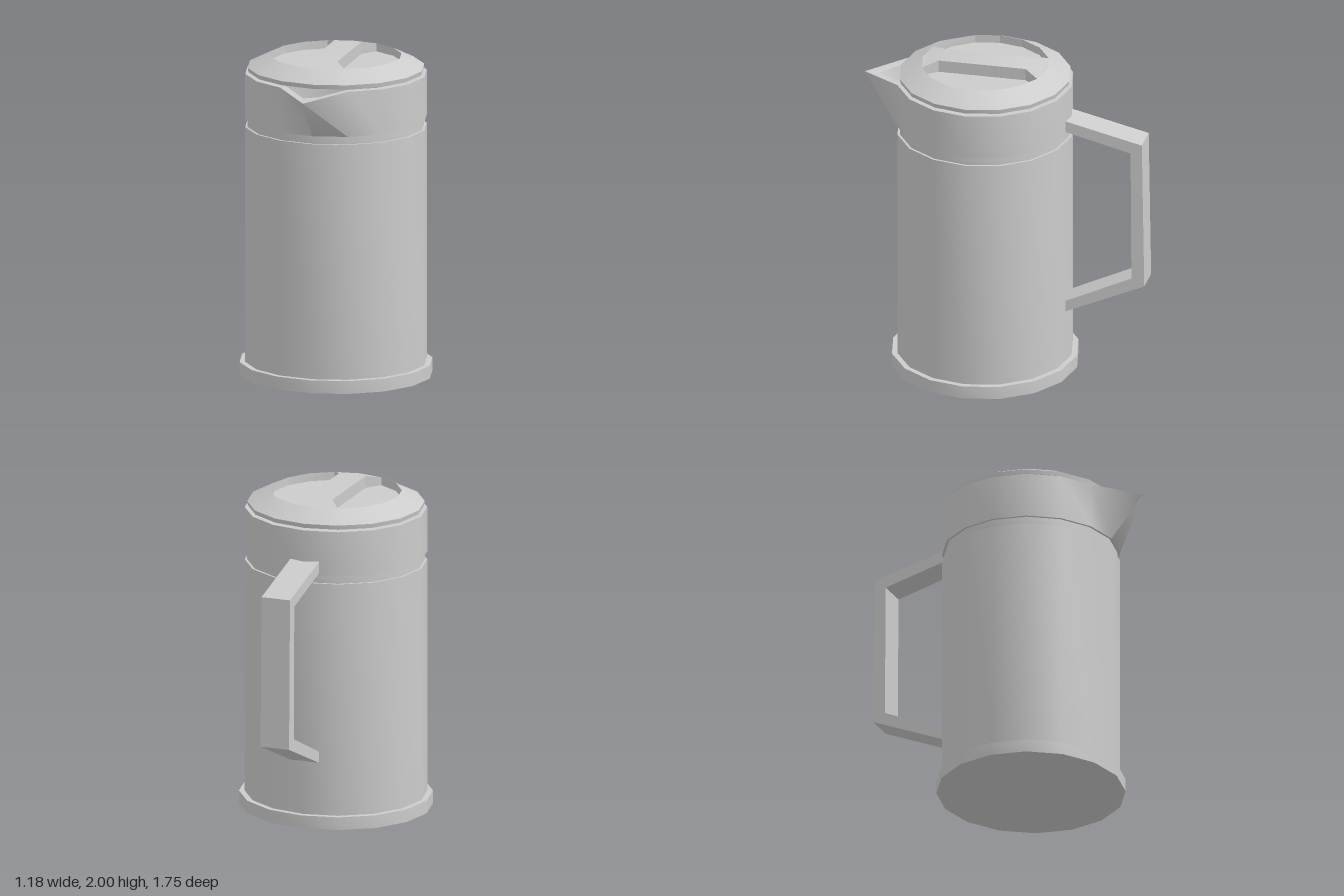
import * as THREE from 'three';
import { toCreasedNormals } from 'three/addons/utils/BufferGeometryUtils.js';

const SIDES = 16;
const DEPTH = 0.967; // the jug is slightly narrower front to back
const CENTRE_Z = 0.128;

const material = new THREE.MeshStandardMaterial({ color: 0xcccccc });

function part(name, geometry, crease = 0.5) {
  const mesh = new THREE.Mesh(toCreasedNormals(geometry, crease), material);
  mesh.name = name;
  return mesh;
}

// Sixteen-sided turned shape, placed on the jug's axis
function turned(profile) {
  const points = profile.map(([r, y]) => new THREE.Vector2(r, y));
  return new THREE.LatheGeometry(points, SIDES).scale(1, 1, DEPTH).translate(0, 0, CENTRE_Z);
}

// Convex polygons turned into fans of triangles
function polygons(list) {
  const pos = [];
  for (const p of list) {
    for (let i = 1; i < p.length - 1; i++) pos.push(...p[0], ...p[i], ...p[i + 1]);
  }
  const g = new THREE.BufferGeometry();
  g.setAttribute('position', new THREE.Float32BufferAttribute(pos, 3));
  return g.scale(1, 1, DEPTH).translate(0, 0, CENTRE_Z);
}

// Collar whose front rim corner is drawn out into a pouring lip
function collarGeometry() {
  const g = turned([[0.54, 1.59], [0.555, 1.59], [0.555, 1.87], [0.5, 1.87], [0.5, 1.6], [0, 1.6]]);
  const p = g.attributes.position;
  for (let i = 0; i < p.count; i++) {
    if (p.getY(i) > 1.8 && Math.abs(p.getX(i)) < 0.001 && p.getZ(i) > CENTRE_Z) {
      const outer = p.getZ(i) > CENTRE_Z + 0.52 * DEPTH;
      p.setXYZ(i, 0, 1.84, outer ? 0.875 : 0.79);
    }
  }
  return g;
}

// Lid top: a raised grip bar between two sunken D-shaped pockets
function lidTopGeometry() {
  const rimY = 1.975, barY = 2, floorY = 1.925, barX = 0.085, barZ = 0.28;
  const rim = (k) => {
    const a = (k / SIDES) * Math.PI * 2;
    return [0.4 * Math.sin(a), rimY, 0.4 * Math.cos(a)];
  };
  const faces = [[
    [barX, barY, barZ], [barX, barY, -barZ], [-barX, barY, -barZ], [-barX, barY, barZ],
  ]];
  for (const s of [1, -1]) {
    const half = s > 0 ? 0 : SIDES / 2;
    // sloping end of the bar
    faces.push([
      rim(half - 1), rim(half), rim(half + 1),
      [s * barX, barY, s * barZ], [-s * barX, barY, s * barZ],
    ]);
    // pocket walls and floor
    const loop = [];
    for (let k = 1; k < SIDES / 2; k++) loop.push(rim(half + k));
    loop.push([s * barX, barY, -s * barZ], [s * barX, barY, s * barZ]);
    const floor = loop.map(([x, , z]) => [x, floorY, z]);
    faces.push(floor);
    loop.forEach((a, i) => {
      const j = (i + 1) % loop.length;
      faces.push([a, loop[j], floor[j], floor[i]]);
    });
  }
  return polygons(faces);
}

// Angular handle: side outline (z, y) extruded across x
function handleGeometry() {
  const outline = [
    [-0.38, 1.68], [-0.865, 1.565], [-0.88, 0.625], [-0.38, 0.403],
    [-0.38, 0.473], [-0.8, 0.67], [-0.795, 1.505], [-0.38, 1.609],
  ];
  const shape = new THREE.Shape(outline.map(([z, y]) => new THREE.Vector2(-z, y)));
  const width = 0.186;
  return new THREE.ExtrudeGeometry(shape, { depth: width, bevelEnabled: false })
    .translate(0, 0, -width / 2)
    .rotateY(Math.PI / 2)
    .translate(-0.005, 0, 0);
}

export function createModel() {
  const jug = new THREE.Group();
  jug.name = 'jug';

  jug.add(part('base', turned([[0, 0], [0.59, 0], [0.59, 0.08], [0.555, 0.08]])));
  jug.add(part('body', turned([[0.555, 0.08], [0.555, 1.54], [0.54, 1.54], [0.54, 1.59]])));
  jug.add(part('collarWithSpout', collarGeometry(), 1.0));

  const lid = new THREE.Group();
  lid.name = 'lid';
  lid.add(part('lidRim', turned([[0, 1.872], [0.49, 1.872], [0.535, 1.88], [0.54, 1.907], [0.4, 1.975]])));
  lid.add(part('lidGrip', lidTopGeometry(), 0.4));
  jug.add(lid);

  jug.add(part('handle', handleGeometry(), 0.1));
  return jug;
}
